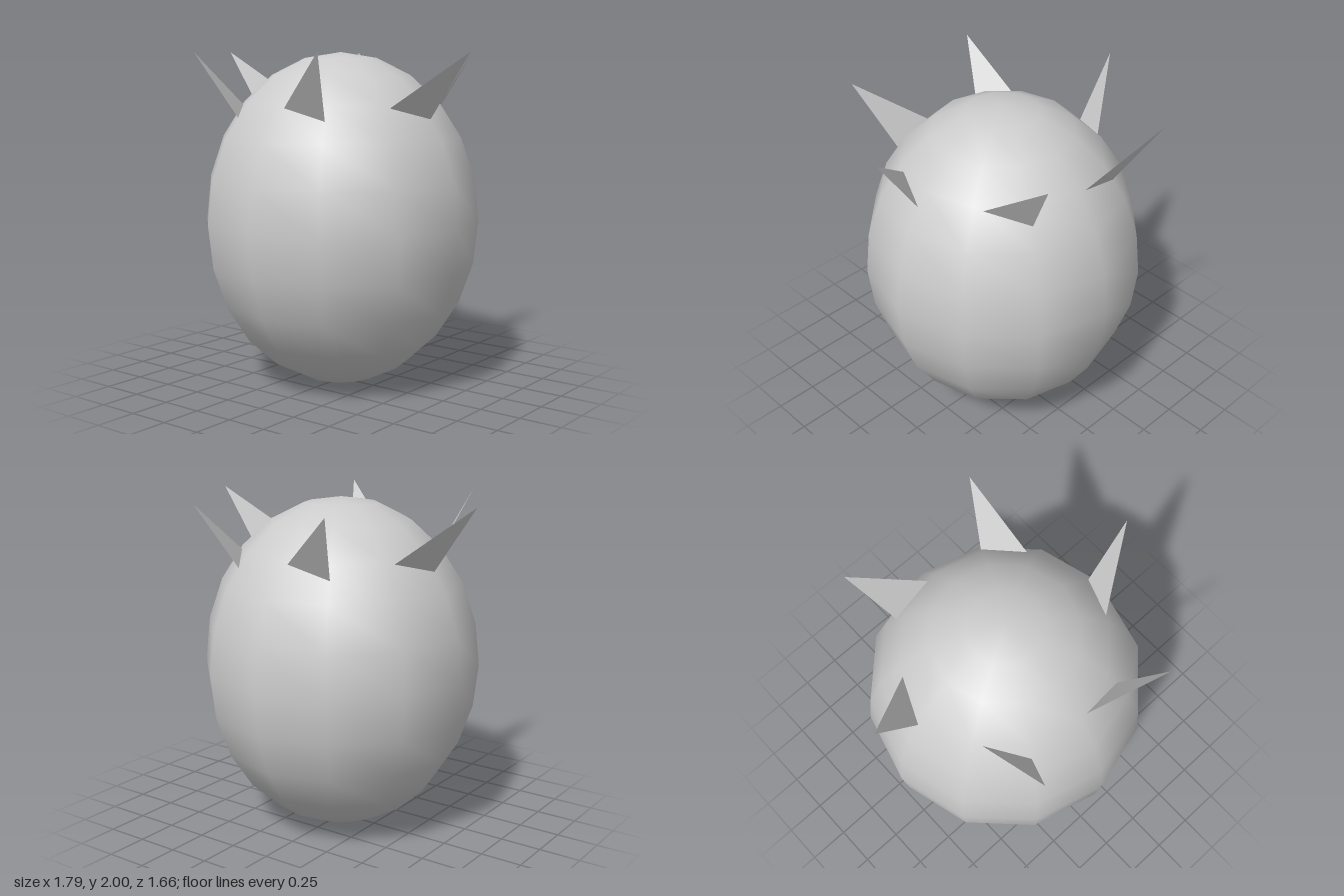
import * as THREE from 'three';

export function createModel() {
  const group = new THREE.Group();
  const grey = new THREE.MeshStandardMaterial({ color: 0xcccccc, side: THREE.DoubleSide });
  grey.name = 'lightGrey';

  // Smooth egg-shaped body, twelve sides and twelve rings
  const bodyGeometry = new THREE.SphereGeometry(1, 12, 12);
  bodyGeometry.scale(0.83, 1, 0.83);
  bodyGeometry.translate(0, 1, 0);
  const body = new THREE.Mesh(bodyGeometry, grey);
  body.name = 'body';
  group.add(body);

  // One thin triangular spike: tip, then two root corners sunk in the body
  const spikeGeometry = new THREE.BufferGeometry();
  spikeGeometry.setAttribute('position', new THREE.Float32BufferAttribute([
    0.895, 2, 0,
    0.57, 1.52, 0,
    0.45, 1.62, 0.3,
  ], 3));
  spikeGeometry.setIndex([0, 1, 2]);
  spikeGeometry.computeVertexNormals();
  // Face the outer side outwards
  const n = spikeGeometry.attributes.normal;
  if (n.getX(0) < 0) {
    spikeGeometry.setIndex([0, 2, 1]);
    spikeGeometry.computeVertexNormals();
  }

  // Crown of six spikes
  const crown = new THREE.Group();
  crown.name = 'spikeCrown';
  for (let i = 0; i < 6; i++) {
    const spike = new THREE.Mesh(spikeGeometry, grey);
    spike.name = `spike${i + 1}`;
    spike.rotation.y = (i * Math.PI) / 3;
    crown.add(spike);
  }
  group.add(crown);

  return group;
}
